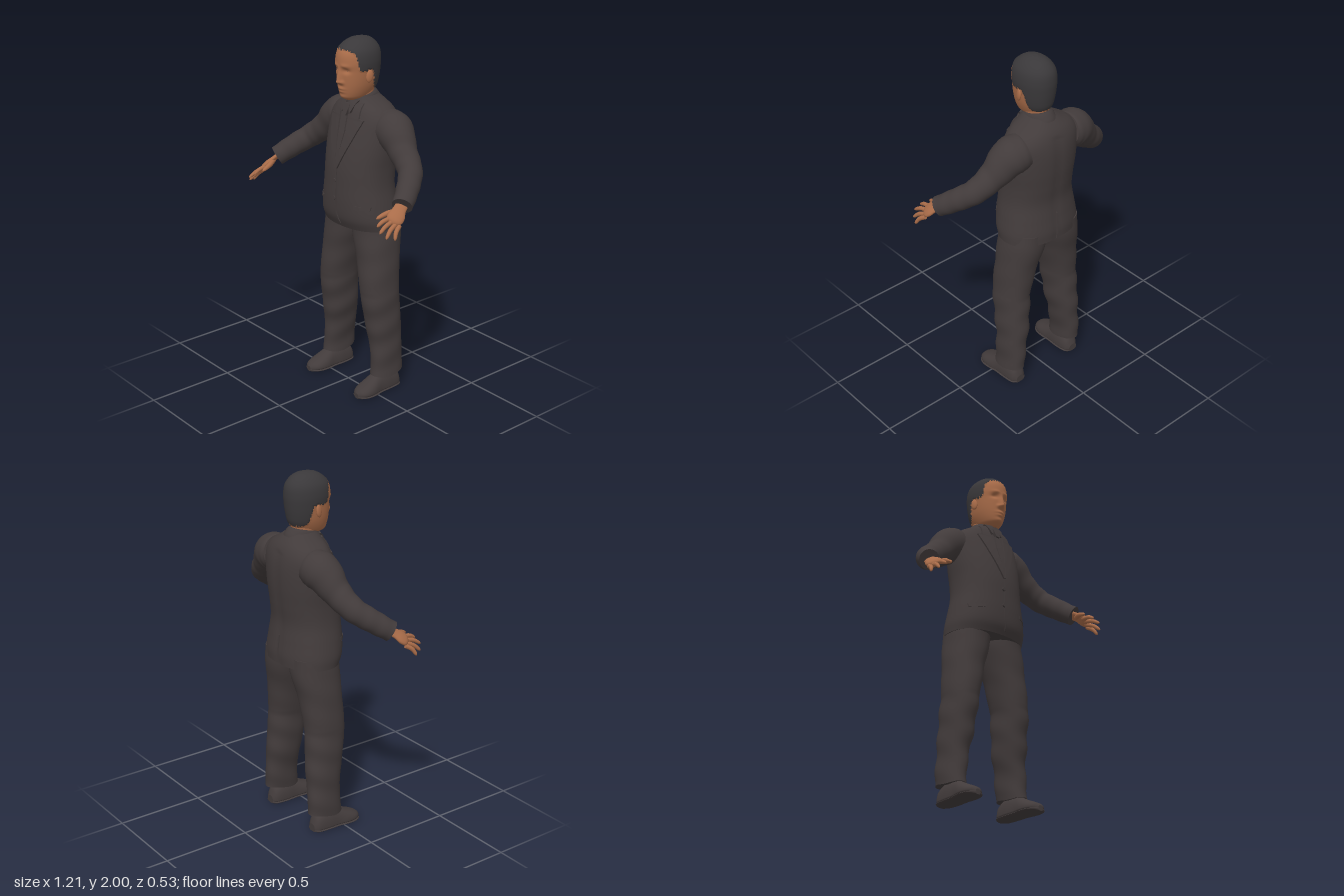
import * as THREE from 'three';
import { toCreasedNormals } from 'three/addons/utils/BufferGeometryUtils.js';

const V = (x, y, z) => new THREE.Vector3(x, y, z);
const gauss = (a, b = 0) => Math.exp(-a * a - b * b);

// Smooth lookup in a table whose rows start with the key (rising order)
function lookup(rows, k) {
  let i = 0;
  while (i < rows.length - 2 && k > rows[i + 1][0]) i++;
  const a = rows[i], b = rows[i + 1], p = rows[i - 1] || a, n = rows[i + 2] || b;
  const h = b[0] - a[0], t = THREE.MathUtils.clamp((k - a[0]) / h, 0, 1);
  return a.map((v, j) => {
    const m0 = (b[j] - p[j]) / (b[0] - p[0]) * h, m1 = (n[j] - v) / (n[0] - a[0]) * h;
    return (2 * t ** 3 - 3 * t * t + 1) * v + (t ** 3 - 2 * t * t + t) * m0
      + (3 * t * t - 2 * t ** 3) * b[j] + (t ** 3 - t * t) * m1;
  });
}

// Skin over closed rings, capped at both ends; pick() sorts quads into material groups
function loft(rings, pick = () => 0) {
  const n = rings[0].length, pts = rings.flat(), sets = [[], []];
  for (let r = 0; r < rings.length - 1; r++) for (let i = 0; i < n; i++) {
    const a = r * n + i, b = r * n + (i + 1) % n, c = b + n, d = a + n;
    const mid = pts[a].clone().add(pts[c]).multiplyScalar(0.5);
    sets[pick(mid)].push(a, b, c, a, c, d);
  }
  [rings[0], rings[rings.length - 1]].forEach((ring, end) => {
    const base = pts.length, mid = V(0, 0, 0);
    ring.forEach(p => mid.addScaledVector(p, 1 / n));
    pts.push(...ring.map(p => p.clone()), mid);
    for (let i = 0; i < n; i++) {
      const a = base + i, b = base + (i + 1) % n;
      sets[pick(mid)].push(base + n, end ? a : b, end ? b : a);
    }
  });
  const index = sets.flat();
  let vol = 0;
  for (let i = 0; i < index.length; i += 3)
    vol += pts[index[i]].dot(V(0, 0, 0).crossVectors(pts[index[i + 1]], pts[index[i + 2]]));
  if (vol < 0) for (let i = 0; i < index.length; i += 3) [index[i], index[i + 1]] = [index[i + 1], index[i]];
  const g = new THREE.BufferGeometry().setFromPoints(pts);
  g.setIndex(index);
  if (sets[1].length) {
    g.addGroup(0, sets[0].length, 0);
    g.addGroup(sets[0].length, sets[1].length, 1);
  }
  g.computeVertexNormals();
  return g;
}

// Horizontal superellipse ring
function ring(y, x0, x1, zf, zb, p, n, fix = v => v) {
  return Array.from({ length: n }, (_, i) => {
    const a = i / n * Math.PI * 2, c = Math.cos(a), s = Math.sin(a), e = 2 / p;
    return fix(V((x0 + x1) / 2 + (x1 - x0) / 2 * Math.sign(c) * Math.abs(c) ** e, y,
      (zf + zb) / 2 + (zf - zb) / 2 * Math.sign(s) * Math.abs(s) ** e));
  });
}
function stack(rows, count, make) {
  const lo = rows[0][0], hi = rows[rows.length - 1][0];
  return Array.from({ length: count + 1 }, (_, i) => make(lookup(rows, lo + (hi - lo) * i / count)));
}

// Tapered limb along points [x, y, z, radius]; side mirrors it
function limb(side, pts, { across = V(0, 1, 0), flat = 1, steps = 20, n = 16, round = false, fold = 0 } = {}) {
  const curve = new THREE.CatmullRomCurve3(pts.map(p => V(p[0], p[1], p[2])));
  const radii = pts.map((p, i) => [i / (pts.length - 1), p[3]]);
  return loft(Array.from({ length: steps + 1 }, (_, k) => {
    const t = k / steps, c = curve.getPoint(t), d = curve.getTangent(t);
    const u = across.clone().addScaledVector(d, -across.dot(d)).normalize(), w = V(0, 0, 0).crossVectors(d, u);
    let r = lookup(radii, t)[1];
    if (round) r *= Math.sqrt(Math.max(0.02, 1 - Math.max(0, (t - 0.8) / 0.2) ** 2));
    return Array.from({ length: n }, (_, i) => {
      const a = i / n * Math.PI * 2, rr = r + fold * Math.sin(t * 45 + Math.sin(a) * 2);
      const q = c.clone().addScaledVector(u, Math.cos(a) * rr).addScaledVector(w, Math.sin(a) * rr * flat);
      return V(q.x * side, q.y, q.z);
    });
  }));
}

// y, half width, front z, back z
const TORSO = [[0.965, 0.236, 0.06, -0.262], [1.02, 0.237, 0.083, -0.264], [1.1, 0.225, 0.09, -0.255],
  [1.2, 0.208, 0.088, -0.245], [1.3, 0.205, 0.083, -0.255], [1.4, 0.212, 0.067, -0.265], [1.5, 0.215, 0.042, -0.267],
  [1.57, 0.21, 0.02, -0.258], [1.62, 0.172, 0.004, -0.24], [1.655, 0.115, -0.01, -0.215], [1.685, 0.075, -0.025, -0.185]];
const LEG = [[0.1, 0.148, 0.272, 0.002, -0.207], [0.2, 0.14, 0.27, -0.008, -0.205], [0.3, 0.122, 0.268, -0.003, -0.205],
  [0.4, 0.104, 0.268, 0.012, -0.204], [0.6, 0.083, 0.262, 0.037, -0.197], [0.8, 0.036, 0.25, 0.033, -0.217],
  [0.93, -0.002, 0.236, 0.035, -0.243], [1.02, -0.01, 0.222, 0.035, -0.245]];
const HEAD = [[1.668, 0.03, 0.012, -0.08], [1.68, 0.052, 0.034, -0.125], [1.7, 0.066, 0.045, -0.15], [1.74, 0.082, 0.053, -0.175],
  [1.78, 0.091, 0.057, -0.185], [1.83, 0.097, 0.06, -0.192], [1.88, 0.1, 0.064, -0.195], [1.93, 0.092, 0.053, -0.188],
  [1.965, 0.07, 0.02, -0.165], [1.988, 0.04, -0.02, -0.132], [1.996, 0.012, -0.06, -0.095]];
// z, centre x, half width, height
const SHOE = [[-0.187, 0.205, 0.025, 0.045], [-0.17, 0.205, 0.044, 0.09], [-0.1, 0.205, 0.053, 0.12], [-0.03, 0.207, 0.053, 0.11],
  [0.03, 0.21, 0.06, 0.08], [0.08, 0.212, 0.054, 0.058], [0.11, 0.213, 0.034, 0.042], [0.12, 0.213, 0.014, 0.03]];
const HAIRLINE = [[-0.2, 1.722], [-0.115, 1.735], [-0.09, 1.83], [-0.005, 1.84], [0.015, 1.92], [0.035, 1.942], [0.1, 1.945]];

// Depth of the jacket surface at x, y (dir 1 front, -1 back)
function jacketZ(x, y, dir = 1) {
  const [, rx, zf, zb] = lookup(TORSO, y);
  return (zf + zb) / 2 + dir * (zf - zb) / 2 * Math.max(0, 1 - Math.abs(x / rx) ** 2.25) ** (1 / 2.25);
}
// Thin cloth strip laid on the jacket; rows are [y, x inner, x outer], y rising
function strip(side, rows, lift = 0.007, dir = 1) {
  const out = [];
  for (let r = 0; r < rows.length - 1; r++) for (let k = 0; k <= 4; k++) {
    if (k === 4 && r < rows.length - 2) continue;
    const [y, a, b] = rows[r].map((v, j) => v + (rows[r + 1][j] - v) * k / 4);
    const p = (x, l) => V(x * side, y, jacketZ(x, y, dir) + dir * l);
    const m = (a + b) / 2;
    out.push([p(a, -0.002), p(a, lift), p(m, lift), p(b, lift), p(b, -0.002), p(m, -0.002)]);
  }
  return toCreasedNormals(loft(out), 0.7);
}

const isHair = p => {
  const jag = 0.007 * Math.sin(p.x * 310) * Math.sin(p.z * 270 + 1);
  return p.y > lookup(HAIRLINE, p.z)[1] + jag;
};
// Nose, sockets, brow, lips and chin pushed out of the head; hair stands slightly proud
function sculpt(v) {
  const x = Math.abs(v.x), y = v.y;
  if (isHair(v)) {
    const d = V(v.x, (y - 1.84) * 0.7, v.z + 0.06).normalize();
    return v.addScaledVector(d, 0.004);
  }
  if (v.z > 0) {
    const ridge = THREE.MathUtils.clamp((1.865 - y) / 0.09, 0, 1) * THREE.MathUtils.clamp((y - 1.755) / 0.018, 0, 1);
    v.z += 0.028 * ridge * gauss(x / 0.013) + 0.009 * gauss((x - 0.018) / 0.009, (y - 1.772) / 0.01)
      - 0.012 * gauss((x - 0.038) / 0.02, (y - 1.835) / 0.014) + 0.005 * gauss((x - 0.035) / 0.025, (y - 1.862) / 0.01)
      + 0.007 * gauss(x / 0.026, (y - 1.736) / 0.008) + 0.006 * gauss(x / 0.022, (y - 1.719) / 0.007)
      + 0.005 * gauss(x / 0.025, (y - 1.69) / 0.012);
  }
  return v;
}

export function createModel() {
  const model = new THREE.Group();
  const mat = (name, color) => Object.assign(new THREE.MeshStandardMaterial({ color }), { name });
  const suit = mat('suit cloth', 0x423b3b), skin = mat('skin', 0xa96c49), hair = mat('hair', 0x3a383a);
  const add = (name, geo, m) => {
    const mesh = new THREE.Mesh(geo, m);
    mesh.name = name;
    model.add(mesh);
    return mesh;
  };

  // Jacket body
  add('jacket', loft(stack(TORSO, 60, ([y, rx, zf, zb]) => ring(y, -rx, rx, zf, zb, 2.25, 64, v => {
    if (v.z < -0.1 && y < 1.6) v.z += 0.006 * gauss(v.x / 0.025);
    return v;
  }))), suit);
  add('backVent', strip(1, [[0.97, -0.003, 0.01], [1.13, -0.002, 0.004]], 0.005, -1), suit);
  add('frontEdge', strip(1, [[0.985, 0.012, 0.022], [1.05, -0.004, 0.006], [1.32, -0.004, 0.004]], 0.005), suit);
  [1.13, 1.23].forEach(y => {
    const b = add('button', new THREE.CylinderGeometry(0.011, 0.012, 0.008, 14), suit);
    b.rotation.x = Math.PI / 2;
    b.position.set(-0.008, y, jacketZ(0, y) + 0.004);
  });

  // Collars, tie
  const collar = [[0, 0.092, 0.008, -0.205], [0.3, 0.083, 0.0, -0.198], [0.85, 0.072, -0.008, -0.178], [1, 0.064, -0.014, -0.168]];
  add('collar', loft(stack(collar, 8, ([t, rx, zf, zb]) => ring(1.645 + 0.05 * t, -rx, rx, zf, zb, 2, 40, v => {
    v.y -= (v.z + 0.09) * 0.2;
    return v;
  }))), suit);
  add('tie', strip(1, [[1.31, -0.004, 0.004], [1.5, -0.022, 0.022], [1.59, -0.013, 0.013]], 0.008), suit);
  add('tieKnot', strip(1, [[1.585, -0.012, 0.012], [1.635, -0.024, 0.024], [1.65, -0.02, 0.02]], 0.018), suit);

  // Head, neck
  add('neck', loft(stack([[1.6, 0.07, -0.02, -0.17], [1.67, 0.062, -0.015, -0.16], [1.76, 0.068, -0.01, -0.165]], 10,
    ([y, rx, zf, zb]) => ring(y, -rx, rx, zf, zb, 2, 32))), skin);
  add('head', loft(stack(HEAD, 84, ([y, rx, zf, zb]) => ring(y, -rx, rx, zf, zb, 2.1, 104, sculpt)),
    p => isHair(p) ? 1 : 0), [skin, hair]);

  for (const s of [1, -1]) {
    const side = s > 0 ? 'left' : 'right';
    add(side + 'Lapel', strip(s, [[1.3, 0, 0.008], [1.35, 0.006, 0.032], [1.45, 0.022, 0.078], [1.55, 0.038, 0.118],
      [1.575, 0.042, 0.126], [1.58, 0.043, 0.098], [1.655, 0.052, 0.088]], 0.009), suit);
    add(side + 'ShirtCollar', strip(s, [[1.6, 0.03, 0.034], [1.64, 0.012, 0.05], [1.668, 0.012, 0.06]], 0.014), suit);
    add(side + 'PocketFlap', strip(s, [[1.092, 0.125, 0.198], [1.112, 0.123, 0.2]], 0.006), suit);

    // Sleeve and cuff
    add(side + 'Sleeve', limb(s, [[0.15, 1.53, -0.14, 0.098], [0.22, 1.515, -0.132, 0.104], [0.32, 1.425, -0.108, 0.077],
      [0.41, 1.355, -0.075, 0.066], [0.475, 1.295, 0, 0.061], [0.527, 1.235, 0.085, 0.055]],
    { steps: 44, n: 28, fold: 0.0012 }), suit);

    // Hand with four fingers and a thumb
    const across = V(0.76, -0.58, -0.25).normalize(), knuckle = V(0.55, 1.172, 0.168);
    add(side + 'Palm', limb(s, [[0.515, 1.248, 0.065, 0.034], [0.53, 1.222, 0.105, 0.034], [0.542, 1.196, 0.138, 0.045],
      [0.553, 1.167, 0.178, 0.04]], { across, flat: 0.42, round: true, n: 20 }), skin);
    [[0.522, 1.16, 0.252], [0.556, 1.135, 0.264], [0.582, 1.108, 0.242], [0.602, 1.097, 0.2]].forEach((tip, i) => {
      const b = knuckle.clone().addScaledVector(across, -0.03 + i * 0.02);
      add(side + 'Finger', limb(s, [[b.x, b.y, b.z - 0.015, 0.012],
        [(b.x + tip[0]) / 2, (b.y + tip[1]) / 2 + 0.006, (b.z + tip[2]) / 2, 0.0115], [...tip, 0.008]],
      { across, round: true, steps: 14, n: 12 }), skin);
    });
    add(side + 'Thumb', limb(s, [[0.525, 1.215, 0.115, 0.016], [0.495, 1.203, 0.165, 0.014], [0.482, 1.184, 0.222, 0.009]],
      { across, round: true, steps: 14, n: 12 }), skin);

    // Trouser leg with soft folds
    add(side + 'TrouserLeg', loft(stack(LEG, 64, ([y, x0, x1, zf, zb]) => ring(y, x0 * s, x1 * s, zf, zb, 2.2, 40, v => {
      const f = 0.003 * Math.sin(y * 38 + v.z * 14) * (y < 0.6 ? 1 : 0.4);
      return v.set(v.x + f, y + (y < 0.11 ? 0.008 * Math.sin(v.z * 25) : 0), v.z + f);
    }))), suit);

    // Shoe upper and sole
    const shoe = (grow, cap) => loft(stack(SHOE, 32, ([z, cx, hw, h]) => Array.from({ length: 28 }, (_, i) => {
      const a = i / 28 * Math.PI * 2, c = Math.cos(a), q = Math.sin(a), top = Math.min(h, cap);
      const low = Math.min(0.022, top * 0.5);
      return V(s * (cx + (hw + grow) * Math.sign(c) * Math.abs(c) ** 0.8), q > 0 ? low + (top - low) * q : low * (1 + q), z);
    })));
    add(side + 'Shoe', shoe(0, 1), suit);
    add(side + 'Sole', toCreasedNormals(shoe(0.004, 0.018), 0.8), suit);

    // Ear and eye slit
    const ear = add(side + 'Ear', new THREE.SphereGeometry(1, 18, 14), skin);
    ear.scale.set(0.01, 0.034, 0.02);
    ear.position.set(s * 0.099, 1.803, -0.062);
    ear.rotation.set(-0.15, s * -0.3, 0);
    const eye = add(side + 'Eye', new THREE.SphereGeometry(1, 14, 8), hair);
    eye.scale.set(0.013, 0.0025, 0.004);
    eye.position.set(s * 0.038, 1.834, 0.036);
    eye.rotation.y = s * 0.35;
  }
  return model;
}
